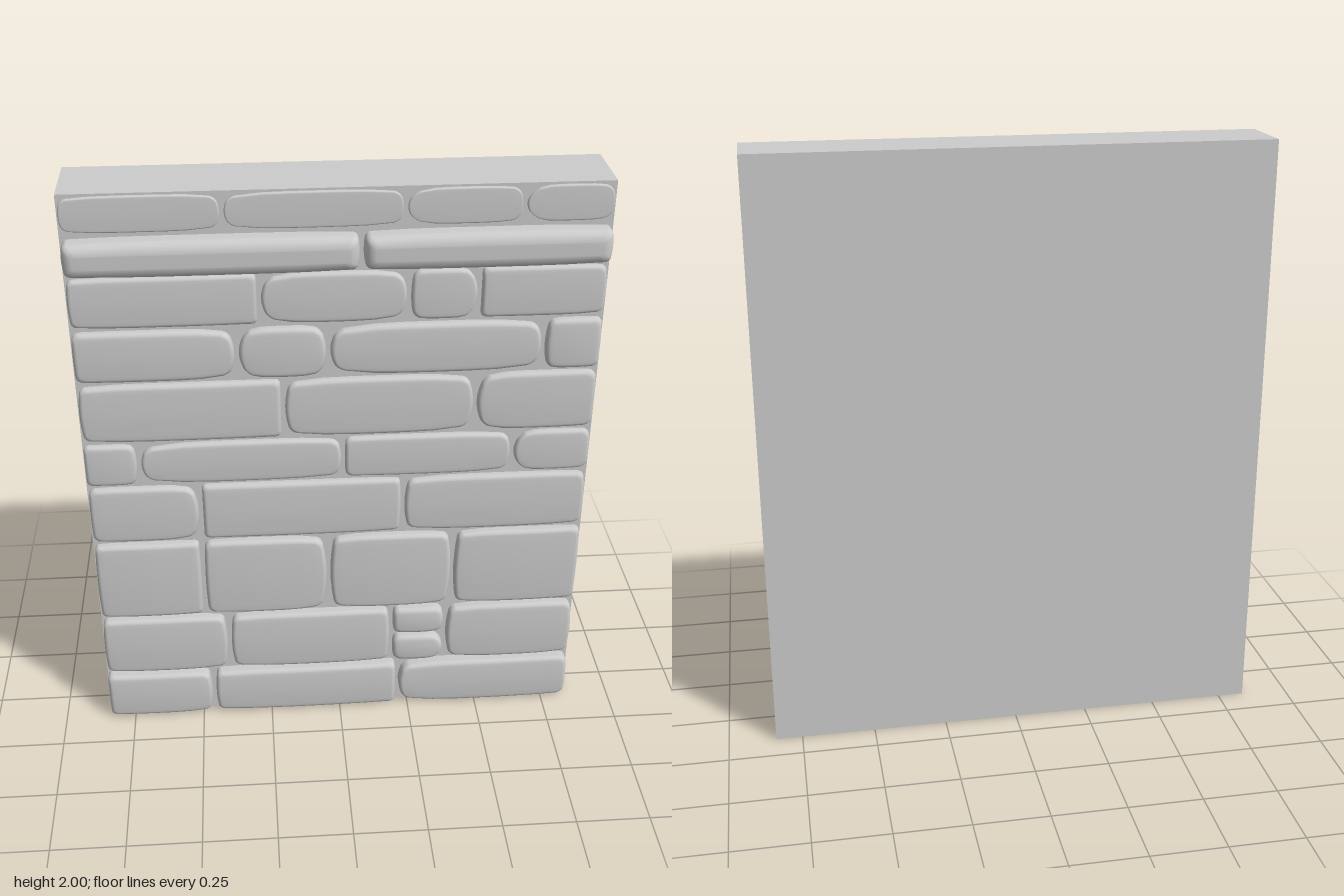
import * as THREE from 'three';

const stoneMat = new THREE.MeshStandardMaterial({ color: 0xcccccc });
stoneMat.name = 'pale grey stone';

const HALF_WIDTH = 0.84, WALL_FRONT = 0.083, WALL_BACK = -0.15, GAP = 0.014;

// Courses from the ground up: top joint height, front z, and x of the upright joints
const courses = [
  { top: 0.195, z: 0.133, joints: [-0.457, 0.21] },
  { top: 0.44, z: 0.125, joints: [-0.393, 0.185, 0.378], split: 2 },
  { top: 0.757, z: 0.12, joints: [-0.472, -0.038, 0.395] },
  { top: 0.983, z: 0.112, joints: [-0.467, 0.215] },
  { top: 1.148, z: 0.108, joints: [-0.66, 0.012, 0.577] },
  { top: 1.37, z: 0.112, joints: [-0.183, 0.443] },
  { top: 1.558, z: 0.114, joints: [-0.325, -0.036, 0.652] },
  { top: 1.74, z: 0.108, joints: [-0.25, 0.217, 0.438] },
  { top: 1.871, z: 0.15, joints: [0.067], ledge: true },
  { top: 2, z: 0.094, joints: [-0.353, 0.2, 0.562] },
];

// Small repeatable random numbers for the uneven ends of the stones
let seed = 11;
function random() {
  seed = (seed * 16807) % 2147483647;
  return seed / 2147483647;
}

// Outline of a rounded rectangle, counter-clockwise, with subdivided sides
function outline(hx, hy, c) {
  const pts = [];
  for (let k = 0; k < 4; k++) {
    const sx = k === 0 || k === 3 ? 1 : -1, sy = k < 2 ? 1 : -1;
    for (let i = 0; i <= 4; i++) {
      const a = (k + i / 4) * Math.PI / 2;
      pts.push([sx * (hx - c) + c * Math.cos(a), sy * (hy - c) + c * Math.sin(a)]);
    }
    // points along the side that leads to the next corner
    for (let i = 1; i < 6; i++) {
      const t = 1 - i / 3;
      pts.push(k % 2 === 0 ? [sx * (hx - c) * t, sy * hy] : [sx * hx, sy * (hy - c) * t]);
    }
  }
  return pts;
}

// Cushion-shaped stone made of rings: straight sides, rounded rim, gently domed face
function stoneGeometry(x0, x1, y0, y1, front, round, bowL, bowR, dome) {
  const hx = (x1 - x0) / 2, hy = (y1 - y0) / 2, cx = (x0 + x1) / 2, cy = (y0 + y1) / 2;
  const base = outline(hx, hy, 0.012 + Math.max(bowL, bowR) * 0.6);
  const n = base.length, pos = [], idx = [];
  const depth = Math.min(round, front - WALL_FRONT);

  const rings = [{ inset: 0, drop: front - WALL_FRONT + 0.02, s: 1 }];
  for (let i = 0; i <= 4; i++) {
    const a = i / 4 * Math.PI / 2;
    rings.push({ inset: round * (1 - Math.cos(a)), drop: depth * (1 - Math.sin(a)), s: 1 });
  }
  for (const s of [0.85, 0.6, 0.3]) rings.push({ inset: round, drop: 0, s });

  for (const { inset, drop, s } of rings) {
    for (const [bx, by] of base) {
      const x = bx * (1 - inset / hx) * s, y = by * (1 - inset / hy) * s;
      const u = x / hx, v = y / hy, bow = u > 0 ? bowR : bowL;
      pos.push(
        cx + x - Math.sign(u) * bow * v * v * u * u,
        cy + y - v * bow * 0.9 * u ** 4,
        front - drop - dome * (u * u + v * v) / 2,
      );
    }
  }
  pos.push(cx, cy, front);
  for (let r = 0; r < rings.length - 1; r++) {
    for (let i = 0; i < n; i++) {
      const a = r * n + i, b = r * n + (i + 1) % n;
      idx.push(a, b, b + n, a, b + n, a + n);
    }
  }
  const last = (rings.length - 1) * n;
  for (let i = 0; i < n; i++) idx.push(last + i, last + (i + 1) % n, rings.length * n);

  const g = new THREE.BufferGeometry();
  g.setAttribute('position', new THREE.Float32BufferAttribute(pos, 3));
  g.setIndex(idx);
  g.computeVertexNormals();
  return g;
}

// One course: a stone between each pair of neighbouring joints
function makeCourse({ top, z, joints, split, ledge }, bottom) {
  const row = new THREE.Group();
  const height = z - WALL_FRONT;
  const round = ledge ? 0.034 : Math.min(0.015, height * 0.5);
  const dome = ledge ? 0.002 : Math.min(0.01, height * 0.25);
  const edges = [-HALF_WIDTH - GAP / 4, ...joints, HALF_WIDTH + GAP / 4];

  const addStone = (i, y0, y1) => {
    // stones are squarer at the ends of the wall and bulge more at the joints
    const bow = (atEnd) => (ledge ? 0.006 : random() * (atEnd ? 0.01 : 0.022));
    const stone = new THREE.Mesh(stoneGeometry(
      edges[i] + GAP / 2, edges[i + 1] - GAP / 2, y0 + GAP / 2, y1 - GAP / 2,
      z, round, bow(i === 0), bow(i === joints.length), dome,
    ), stoneMat);
    stone.name = ledge ? 'ledgeStone' : 'facingStone';
    row.add(stone);
  };

  for (let i = 0; i <= joints.length; i++) {
    if (i === split) {
      // two small stones stacked in one place
      const middle = (bottom + top) / 2;
      addStone(i, bottom, middle);
      addStone(i, middle, top);
    } else addStone(i, bottom, top);
  }
  return row;
}

export function createModel() {
  const model = new THREE.Group();
  model.name = 'stoneWall';

  // Solid wall slab behind the stones
  const slab = new THREE.Mesh(new THREE.BoxGeometry(HALF_WIDTH * 2, 2, WALL_FRONT - WALL_BACK), stoneMat);
  slab.position.set(0, 1, (WALL_FRONT + WALL_BACK) / 2);
  slab.name = 'wallSlab';
  model.add(slab);

  // Courses of facing stones, with the projecting ledge near the top
  let bottom = 0;
  courses.forEach((course, i) => {
    const row = makeCourse(course, bottom);
    row.name = course.ledge ? 'ledge' : `course${i + 1}`;
    model.add(row);
    bottom = course.top;
  });
  return model;
}
